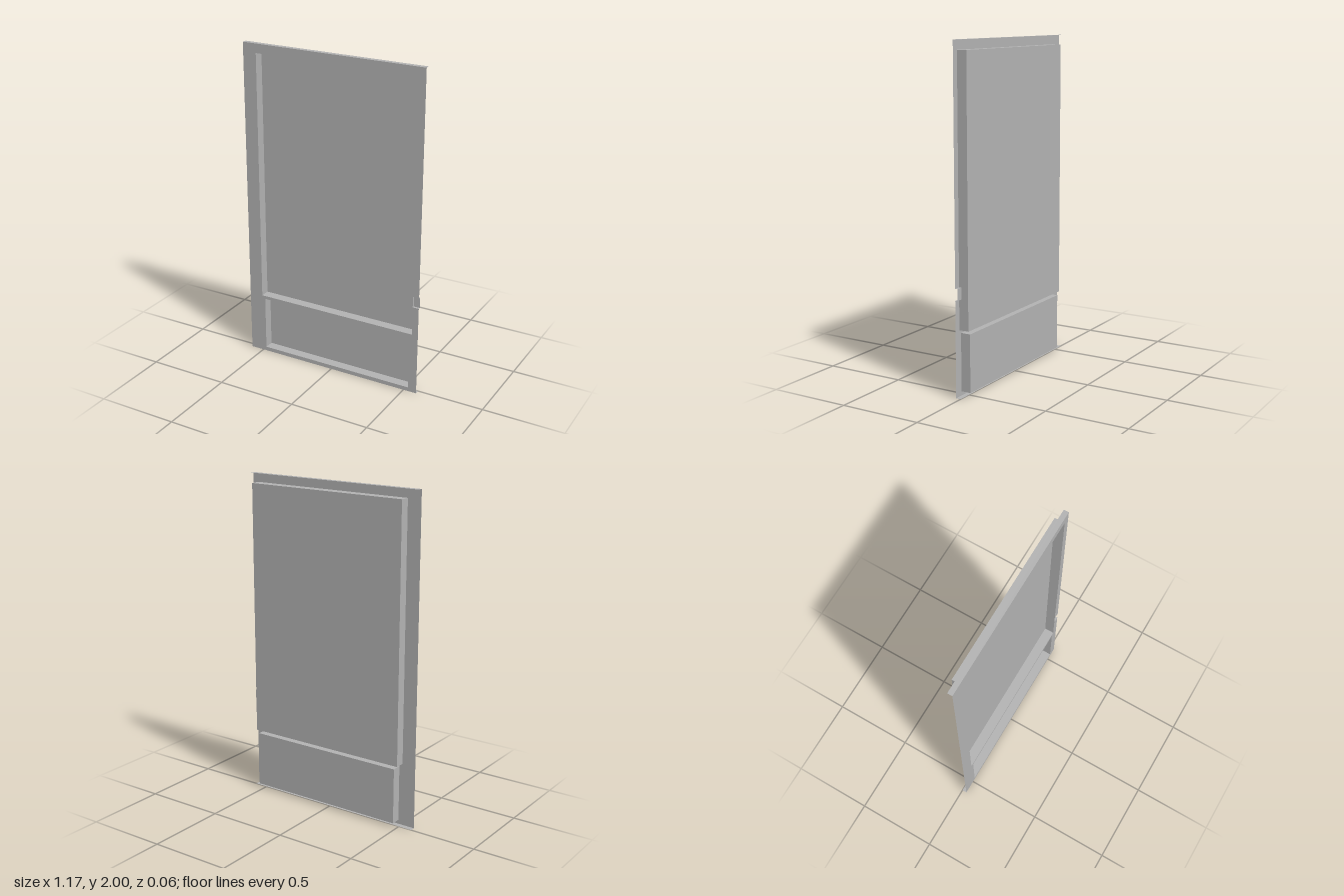
import * as THREE from 'three';

const W = 0.585, H = 2, FRONT = 0.03, BACK = -0.03;
// Recesses: x0, x1, y0, y1
const UPPER = [-0.498, 0.546, 0.388, 1.944];
const LOWER = [-0.477, 0.53, 0.025, 0.368];
const NOTCH = [0.546, W, 0.567, 0.635];
// Face order of a box
const RIGHT = 0, LEFT = 1, TOP = 2, BOTTOM = 3, REAR = 5;

export function createModel() {
  const group = new THREE.Group();
  const metal = new THREE.MeshStandardMaterial({ color: 0xb2b2b2, side: THREE.DoubleSide });
  metal.name = 'grey sheet metal';

  const add = (name, geometry) => {
    const mesh = new THREE.Mesh(geometry, metal);
    mesh.name = name;
    group.add(mesh);
    return mesh;
  };

  // Thin-walled box that keeps only the listed faces
  const tray = (name, [x0, x1, y0, y1], zBack, faces) => {
    const g = new THREE.BoxGeometry(x1 - x0, y1 - y0, FRONT - zBack);
    const index = Array.from(g.index.array);
    g.setIndex(faces.flatMap((f) => index.slice(f * 6, f * 6 + 6)));
    g.clearGroups();
    g.translate((x0 + x1) / 2, (y0 + y1) / 2, (FRONT + zBack) / 2);
    return add(name, g);
  };

  // Front sheet: the outline runs in through the edge notch and around the upper opening
  const [ux0, ux1, uy0, uy1] = UPPER;
  const [, , ny0, ny1] = NOTCH;
  const sheet = new THREE.Shape([
    [-W, 0], [W, 0], [W, ny0], [ux1, ny0], [ux1, uy0], [ux0, uy0],
    [ux0, uy1], [ux1, uy1], [ux1, ny1], [W, ny1], [W, H], [-W, H],
  ].map(([x, y]) => new THREE.Vector2(x, y)));
  const [lx0, lx1, ly0, ly1] = LOWER;
  sheet.holes.push(new THREE.Path([
    [lx0, ly0], [lx0, ly1], [lx1, ly1], [lx1, ly0],
  ].map(([x, y]) => new THREE.Vector2(x, y))));
  add('frontSheet', new THREE.ShapeGeometry(sheet)).position.z = FRONT;

  // Recessed panels, open at the front
  const allButFront = [RIGHT, LEFT, TOP, BOTTOM, REAR];
  tray('upperRecess', UPPER, BACK, allButFront);
  tray('lowerRecess', LOWER, BACK, allButFront);

  // Shallow latch notch on the edge
  tray('latchNotch', NOTCH, 0.015, [TOP, BOTTOM, REAR]);

  // Top and bottom flanges folded back from the sheet
  tray('flanges', [-W, W, 0, H], 0, [TOP, BOTTOM]);

  return group;
}
